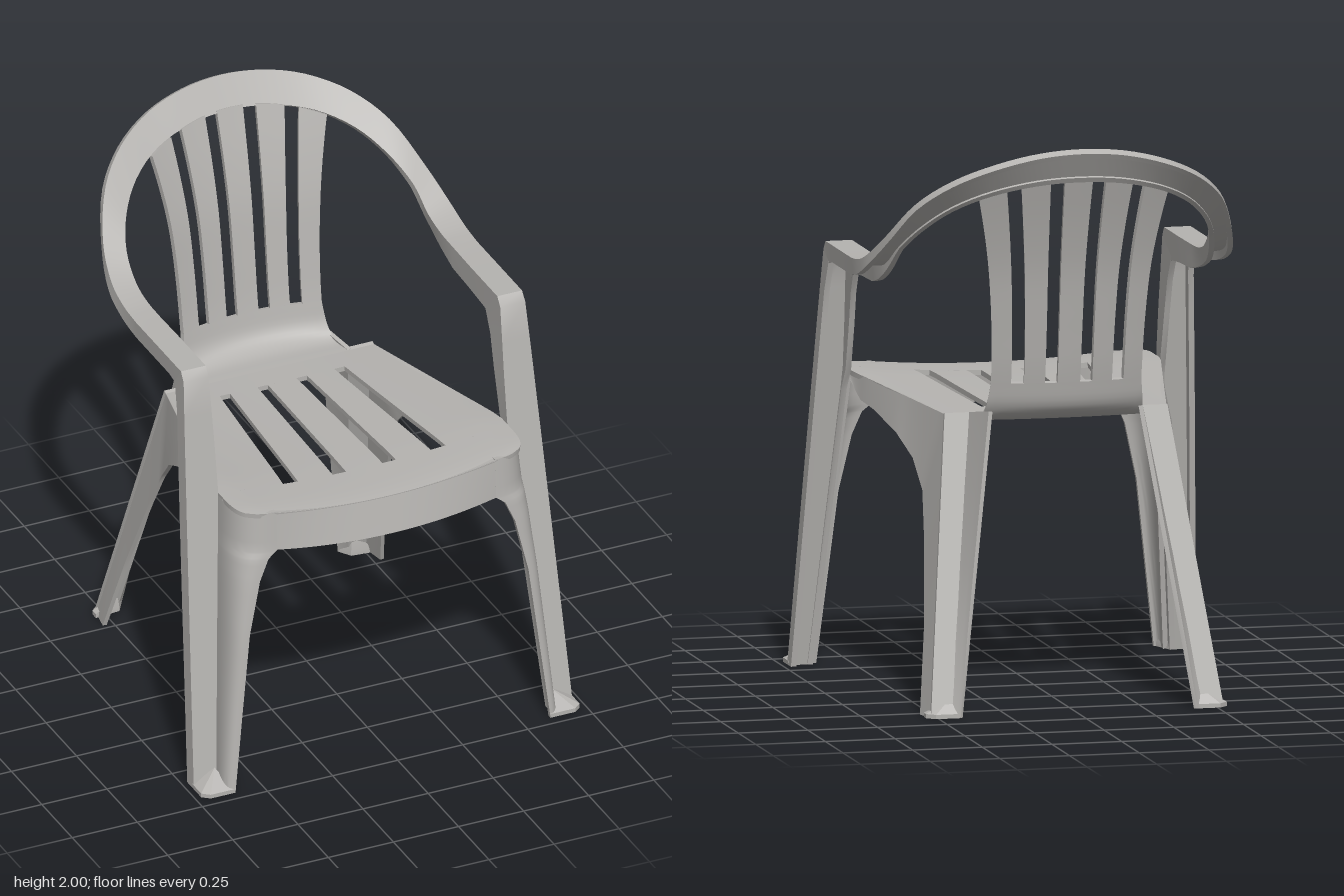
import * as THREE from 'three';
import { toCreasedNormals } from 'three/addons/utils/BufferGeometryUtils.js';

const V = (x, y, z) => new THREE.Vector3(x, y, z);
const lerp = THREE.MathUtils.lerp;
const plastic = new THREE.MeshStandardMaterial({ color: 0xb5b3b0, side: THREE.DoubleSide });
plastic.name = 'grey plastic';

// linear interpolation along a list of number rows
function at(rows, t) {
  const f = Math.min(Math.max(t, 0), 1) * (rows.length - 1);
  const i = Math.min(Math.floor(f), rows.length - 2);
  return rows[i].map((a, k) => lerp(a, rows[i + 1][k], f - i));
}

function build(pos, idx, crease) {
  const g = new THREE.BufferGeometry();
  g.setAttribute('position', new THREE.Float32BufferAttribute(pos, 3));
  g.setIndex(idx);
  return toCreasedNormals(g, crease);
}

// closed sheet of thickness t lying behind the surface P(u, v)
function slab(P, nu, nv, t = 0.018) {
  const pos = [], idx = [], row = nu + 1, n = row * (nv + 1), e = 0.002;
  const top = [], under = [];
  for (let j = 0; j <= nv; j++) for (let i = 0; i <= nu; i++) {
    const u = i / nu, v = j / nv, p = P(u, v);
    const du = P(Math.min(u + e, 1), v).sub(P(Math.max(u - e, 0), v));
    const dv = P(u, Math.min(v + e, 1)).sub(P(u, Math.max(v - e, 0)));
    top.push(p);
    under.push(p.clone().addScaledVector(du.cross(dv).normalize(), -t));
  }
  [...top, ...under].forEach(p => pos.push(p.x, Math.max(p.y, 0), p.z));
  const quad = (a, b, c, d) => idx.push(a, b, c, a, c, d);
  for (let j = 0; j < nv; j++) for (let i = 0; i < nu; i++) {
    const a = j * row + i, b = a + 1, c = b + row, d = a + row;
    quad(a, b, c, d);
    quad(n + d, n + c, n + b, n + a);
  }
  const side = (a, b) => quad(b, a, n + a, n + b);
  for (let i = 0; i < nu; i++) { side(i, i + 1); side(nv * row + i + 1, nv * row + i); }
  for (let j = 0; j < nv; j++) { side((j + 1) * row, j * row); side(j * row + nu, (j + 1) * row + nu); }
  return build(pos, idx, 0.6);
}

// sheet stretched between two edges given as point rows
const ruled = (A, B, nv, t) => slab((u, v) => V(...at(A, v)).lerp(V(...at(B, v)), u), 3, nv, t);

// seat surface: edge height falls to the rear, middle is slightly dished
const seatHalf = z => lerp(0.4, 0.555, Math.min((z + 0.3) / 0.7, 1));
function seatPoint(x, z) {
  const k = Math.min((z + 0.3) / 0.7, 1);
  return V(x, lerp(1.02, 1.066, k) - 0.03 * k * (1 - Math.min((x / 0.5) ** 2, 1)), z);
}

// backrest surface, bowed backwards in the middle
const backCurve = new THREE.CatmullRomCurve3([[-0.3, 1.02], [-0.4, 1.025], [-0.455, 1.06], [-0.48, 1.15],
  [-0.51, 1.35], [-0.54, 1.55], [-0.58, 1.72], [-0.632, 1.9]].map(([z, y]) => V(0, y, z)));
function backPoint(x, v) {
  const p = backCurve.getPoint(v);
  return V(x, p.y, p.z + 0.05 * (x / 0.3) ** 2 * Math.min(1, v * 3.5));
}

// arm and hoop: ribbon with an inner and an outer edge and two flanges
function armGeometry() {
  const st = []; // inner edge, outer edge, outer flange depth, inner flange depth
  [[0, 0.64, 0.727, 0.055, 0.025], [1.0, 0.56, 0.681, 0.06, 0.03], [1.08, 0.555, 0.677, 0.06, 0.06],
    [1.25, 0.556, 0.669, 0.06, 0.085], [1.37, 0.558, 0.663, 0.06, 0.1], [1.5, 0.56, 0.656, 0.08, 0.14]]
    .forEach(([y, xi, xo, a, b]) => st.push([V(xi, y, 0.63 - 0.157 * y), V(xo, y, 0.63 - 0.157 * y), a, b]));
  [[0.37, 0.08, 0.14], [0.27, 0.06, 0.1], [0.15, 0.06, 0.09]]
    .forEach(([z, a, b]) => st.push([V(0.56, 1.532, z), V(0.655, 1.532, z), a, b]));
  const inner = [[0.562, 1.532, 0], [0.562, 1.536, -0.1], [0.56, 1.56, -0.2], [0.55, 1.63, -0.3], [0.5, 1.71, -0.41],
    [0.42, 1.785, -0.5], [0.3, 1.845, -0.575], [0.15, 1.88, -0.617], [0, 1.89, -0.63]];
  const outer = [[0.655, 1.532, 0], [0.655, 1.543, -0.1], [0.65, 1.578, -0.21], [0.62, 1.66, -0.345], [0.545, 1.795, -0.485],
    [0.44, 1.885, -0.58], [0.3, 1.95, -0.65], [0.15, 1.988, -0.682], [0, 2.0, -0.692]];
  const full = h => new THREE.CatmullRomCurve3([...h, ...h.slice(0, -1).reverse().map(([x, y, z]) => [-x, y, z])].map(p => V(...p)));
  const ci = full(inner), co = full(outer), N = 64;
  const first = st.slice();
  for (let i = 0; i <= N; i++) {
    const k = Math.min(1, Math.min(i, N - i) / 12);
    st.push([ci.getPoint(i / N), co.getPoint(i / N), lerp(0.06, 0.028, k), lerp(0.085, 0.028, k)]);
  }
  first.reverse().forEach(([a, b, c, d]) => st.push([V(-a.x, a.y, a.z), V(-b.x, b.y, b.z), c, d]));
  const mid = st.map(s => s[0].clone().add(s[1]).multiplyScalar(0.5));
  const pos = [], idx = [], th = 0.02;
  st.forEach(([I, O, d1, d2], i) => {
    const t = V(0, 0, 0);
    if (i > 0) t.add(mid[i].clone().sub(mid[i - 1]).normalize());
    if (i < st.length - 1) t.add(mid[i + 1].clone().sub(mid[i]).normalize());
    const w = O.clone().sub(I).normalize(), n = t.cross(w).normalize();
    const put = (p, a, b) => { const q = p.clone().addScaledVector(n, a).addScaledVector(w, b); pos.push(q.x, Math.max(q.y, 0), q.z); };
    put(I, 0, 0); put(O, 0, 0); put(O, d1, 0); put(O, d1, -th);
    put(O, th, -th); put(I, th, th); put(I, d2, th); put(I, d2, 0);
    if (i) for (let k = 0; k < 8; k++) {
      const a = (i - 1) * 8 + k, b = (i - 1) * 8 + (k + 1) % 8;
      idx.push(a, b, b + 8, a, b + 8, a + 8);
    }
  });
  return build(pos, idx, 0.6);
}

// low pyramid closing the bottom of a leg
function footGeometry(apex, outline) {
  const pos = [...apex], idx = [], n = outline.length;
  outline.forEach(([x, z]) => pos.push(x, 0.015, z, x, 0, z));
  for (let i = 0; i < n; i++) {
    const a = 1 + 2 * i, b = 1 + 2 * ((i + 1) % n);
    idx.push(0, a, b, a, a + 1, b + 1, a, b + 1, b);
  }
  return build(pos, idx, 0.3);
}

export function createModel() {
  const chair = new THREE.Group();
  chair.name = 'chair';
  const add = (name, g) => {
    const m = new THREE.Mesh(g, plastic);
    m.name = name;
    chair.add(m);
    return m;
  };
  const pair = (name, g) => {
    add('left' + name, g);
    add('right' + name, g).scale.x = -1;
  };

  // seat: front, slotted middle and rear
  add('seatFront', slab((u, v) => {
    const f = 1 - v, x = (2 * u - 1) * (0.49 + 0.065 * Math.sqrt(1 - f ** 4));
    const z = lerp(0.475, 0.676 - 0.035 * (x / 0.5) ** 2, f);
    const p = seatPoint(x, z);
    p.y -= 0.006 * f ** 4;
    return p;
  }, 24, 12));
  const seatStrip = (b0, b1, f0, f1) => slab((u, v) => {
    const z = lerp(0.475, -0.2, v), k = 1 - v;
    const x0 = lerp(b0, f0, k), x1 = b1 === null ? seatHalf(z) : lerp(b1, f1, k);
    return seatPoint(lerp(x0, x1, u), z);
  }, 6, 12);
  add('seatCentreSlat', seatStrip(-0.055, 0.055, -0.07, 0.07));
  pair('SeatInnerSlat', seatStrip(0.095, 0.2, 0.122, 0.255));
  pair('SeatOuterSlat', seatStrip(0.24, null, 0.312, null));
  add('seatRear', slab((u, v) => {
    const z = lerp(-0.2, -0.3, v);
    return seatPoint((2 * u - 1) * seatHalf(z), z);
  }, 16, 3));

  // backrest: curved base and five slats
  const v0 = 3 / 7;
  add('backrestBase', slab((u, v) => backPoint((2 * u - 1) * lerp(0.3, 0.265, v), v * v0), 20, 14));
  const backSlat = (b0, b1, t0, t1) => slab((u, v) => {
    const x = lerp(lerp(b0, t0, v * v), lerp(b1, t1, v * v), u);
    return backPoint(x, lerp(v0, 1 - 0.5 * x * x, v));
  }, 4, 16);
  add('backCentreSlat', backSlat(-0.04, 0.04, -0.05, 0.05));
  pair('BackInnerSlat', backSlat(0.083, 0.155, 0.098, 0.198));
  pair('BackOuterSlat', backSlat(0.198, 0.265, 0.245, 0.335));

  // armrests, uprights and top hoop in one ribbon
  add('armsAndHoop', armGeometry());

  // front apron and the curved front leg panels that continue it
  add('frontApron', slab((u, v) => {
    const x = (2 * u - 1) * 0.42, q = (x / 0.42) ** 2;
    return V(x, lerp(0.893 + 0.015 * q, 1.03 + 0.024 * q, v), lerp(0.703 - 0.043 * q, 0.675 - 0.025 * q, v));
  }, 20, 3));
  // rows: height, inner x, front z, joint x
  const legRows = [[0, 0.605, 0.712, 0.64], [0.3, 0.57, 0.695, 0.617], [0.6, 0.535, 0.68, 0.593], [0.8, 0.49, 0.667, 0.577],
    [0.88, 0.455, 0.662, 0.57], [0.908, 0.42, 0.66, 0.567], [1.056, 0.42, 0.65, 0.555]];
  pair('FrontLegPanel', slab((u, v) => {
    const [y, xi, zf, xj] = at(legRows, v), w = 1 - u;
    return V(w * w * xi + 2 * u * w * (xj + 0.01) + u * u * xj, y, (1 - u * u) * zf + u * u * (0.63 - 0.16 * y));
  }, 10, 24));
  pair('FrontFoot', footGeometry([0.645, 0.065, 0.625],
    [[0.605, 0.712], [0.7, 0.712], [0.727, 0.69], [0.727, 0.615], [0.64, 0.615]]));

  // side apron sweeping down into the outer wall of the rear leg
  const sideTop = [[0.555, 1.065, 0.44], [0.533, 1.06, 0.3], [0.51, 1.053, 0.2], [0.466, 1.04, 0], [0.433, 1.03, -0.15],
    [0.4, 1.02, -0.3], [0.425, 0.8, -0.367], [0.475, 0.4, -0.485], [0.525, 0, -0.605]];
  const sideLow = [[0.557, 1.03, 0.4], [0.545, 0.977, 0.31], [0.525, 0.96, 0.2], [0.495, 0.91, 0], [0.468, 0.84, -0.13],
    [0.456, 0.74, -0.22], [0.468, 0.6, -0.29], [0.5, 0.3, -0.42], [0.54, 0, -0.52]];
  pair('SideApron', ruled(sideTop, sideLow, 32, 0.015));

  // recessed rear leg: back strip and inner wall
  const foldOut = [[0.4, 1.02, -0.3], [0.525, 0, -0.605]];
  const foldIn = [[0.3, 1.02, -0.3], [0.445, 0, -0.605]];
  const rearEdge = [[0.262, 1.045, -0.45], [0.415, 0, -0.632]];
  pair('RearLegStrip', ruled(foldIn, foldOut, 4, -0.015));
  pair('RearLegInnerWall', ruled(rearEdge, foldIn, 4, -0.015));
  pair('RearFoot', footGeometry([0.45, 0.065, -0.592],
    [[0.415, -0.632], [0.51, -0.632], [0.54, -0.605], [0.54, -0.575], [0.445, -0.585]]));
  return chair;
}
